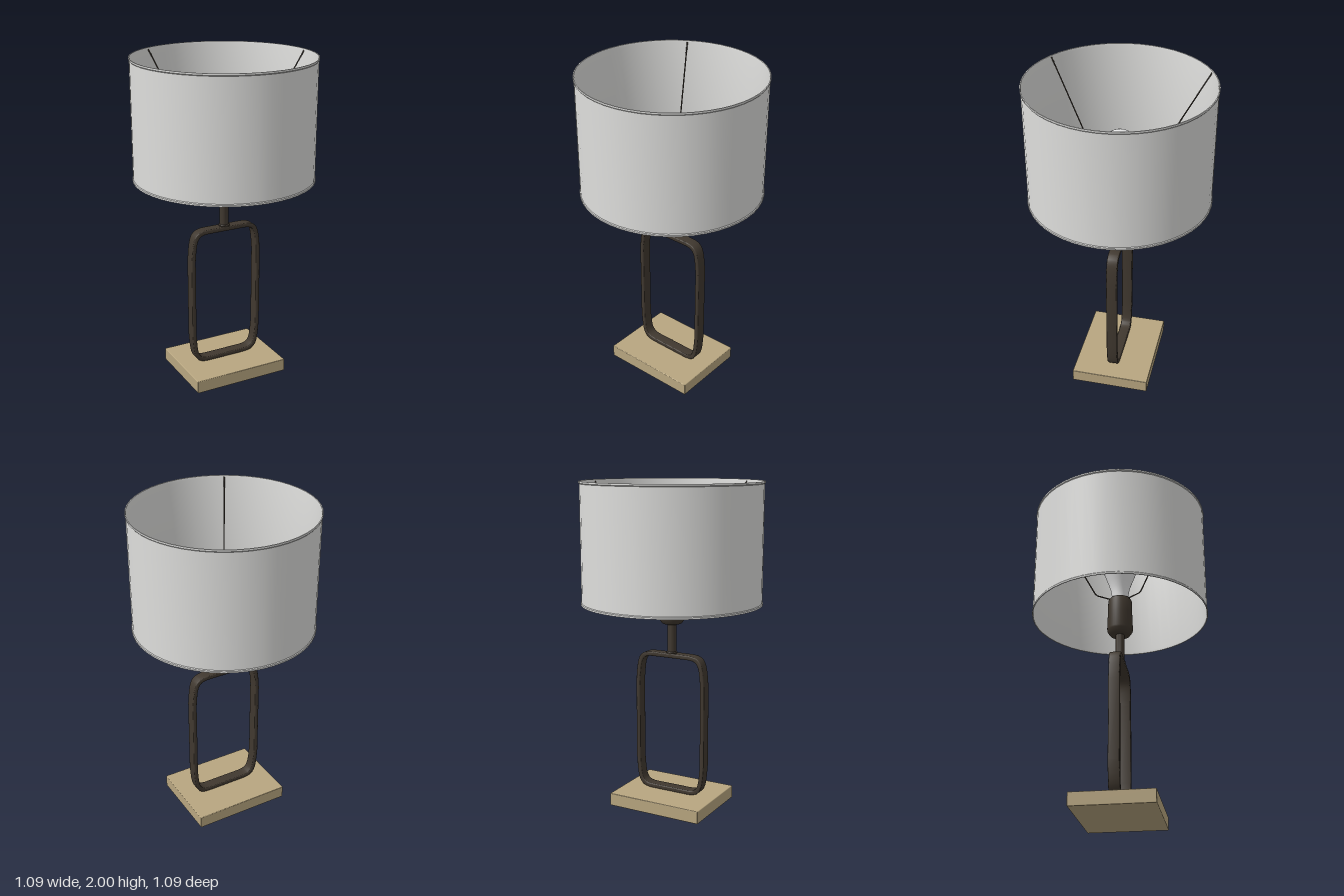
import * as THREE from 'three';
import { toCreasedNormals } from 'three/addons/utils/BufferGeometryUtils.js';
import { RoundedBoxGeometry } from 'three/addons/geometries/RoundedBoxGeometry.js';

const material = (name, color, side = THREE.FrontSide) => {
  const m = new THREE.MeshStandardMaterial({ color, side });
  m.name = name;
  return m;
};

// Rectangle with long, soft corners, centred on the origin
function softRectangle(path, w, h, cx, cy) {
  const corner = (sx, sy, outward) => {
    const bar = [sx * (w - cx), sy * h], side = [sx * w, sy * (h - cy)];
    const c1 = [sx * (w - cx * 0.12), sy * h], c2 = [sx * (w - cx * 0.1), sy * (h - cy * 0.18)];
    if (outward) path.lineTo(...bar).bezierCurveTo(...c1, ...c2, ...side);
    else path.lineTo(...side).bezierCurveTo(...c2, ...c1, ...bar);
  };
  path.moveTo(w - cx, -h);
  corner(1, -1, true);
  corner(1, 1, false);
  corner(-1, 1, true);
  corner(-1, -1, false);
  path.closePath();
  return path;
}

export function createModel() {
  const lamp = new THREE.Group();
  lamp.name = 'tableLamp';

  const wood = material('base tan', 0xb8a680);
  const bronze = material('dark bronze', 0x40382f);
  const fabric = material('shade pale grey', 0xdededc, THREE.DoubleSide);
  const glass = material('bulb white', 0xf0f0f0);

  const add = (name, geometry, mat, parent = lamp) => {
    const mesh = new THREE.Mesh(geometry, mat);
    mesh.name = name;
    parent.add(mesh);
    return mesh;
  };
  const lathe = (points, segments) => toCreasedNormals(
    new THREE.LatheGeometry(points.map(([r, y]) => new THREE.Vector2(r, y)), segments), 0.6);

  // Base slab
  add('base', new RoundedBoxGeometry(0.614, 0.08, 0.488, 2, 0.005), wood).position.y = 0.04;

  // Open frame: flat band with bevelled edges
  const bevel = 0.006, band = 0.027, depth = 0.068;
  const w = 0.237, h = 0.4435;
  const outline = softRectangle(new THREE.Shape(), w - bevel, h - bevel, 0.115, 0.19);
  outline.holes.push(softRectangle(new THREE.Path(), w - band + bevel, h - band + bevel, 0.1, 0.175));
  const frameGeometry = new THREE.ExtrudeGeometry(outline, {
    depth: depth - 2 * bevel, bevelSize: bevel, bevelThickness: bevel, bevelSegments: 3, curveSegments: 10,
  });
  frameGeometry.translate(0, 0.079 + h, -depth / 2 + bevel);
  add('frame', toCreasedNormals(frameGeometry, 0.6), bronze);

  // Stem with a small collar
  add('stem', lathe([[0, 0.955], [0.034, 0.955], [0.034, 0.972], [0.028, 0.978], [0.028, 1.16]], 24), bronze);

  // Bulb socket
  add('socket', lathe([
    [0, 1.15], [0.055, 1.15], [0.062, 1.154], [0.078, 1.178], [0.08, 1.19],
    [0.076, 1.3], [0.074, 1.385], [0.066, 1.4], [0, 1.4],
  ], 32), bronze);

  // Bulb: flared neck running into a round head
  const bulb = [[0.05, 1.39], [0.052, 1.43], [0.06, 1.475], [0.075, 1.52], [0.092, 1.565]];
  for (let i = 0; i <= 10; i++) {
    const a = -0.15 + (Math.PI / 2 + 0.15) * i / 10;
    bulb.push([Math.max(0, 0.102 * Math.cos(a)), 1.605 + 0.102 * Math.sin(a)]);
  }
  add('bulb', lathe(bulb, 32), glass);

  // Drum shade with a narrow lip at both ends
  add('shade', lathe([
    [0.541, 1.274], [0.547, 1.274], [0.547, 1.284], [0.543, 1.289], [0.543, 1.985],
    [0.547, 1.99], [0.547, 2], [0.541, 2], [0.539, 1.985], [0.539, 1.289], [0.541, 1.274],
  ], 48), fabric);

  // Three wire arms carrying the shade
  const wire = new THREE.CurvePath();
  const stops = [[0.05, 1.39], [0.16, 1.4], [0.541, 1.99]].map(([x, y]) => new THREE.Vector3(x, y, 0));
  for (let i = 0; i < 2; i++) wire.add(new THREE.LineCurve3(stops[i], stops[i + 1]));
  const wireGeometry = new THREE.TubeGeometry(wire, 40, 0.004, 6);
  const arms = new THREE.Group();
  arms.name = 'shadeArms';
  for (let i = 0; i < 3; i++) {
    add('shadeArm', wireGeometry, bronze, arms).rotation.y = i * Math.PI * 2 / 3;
  }
  lamp.add(arms);

  return lamp;
}
